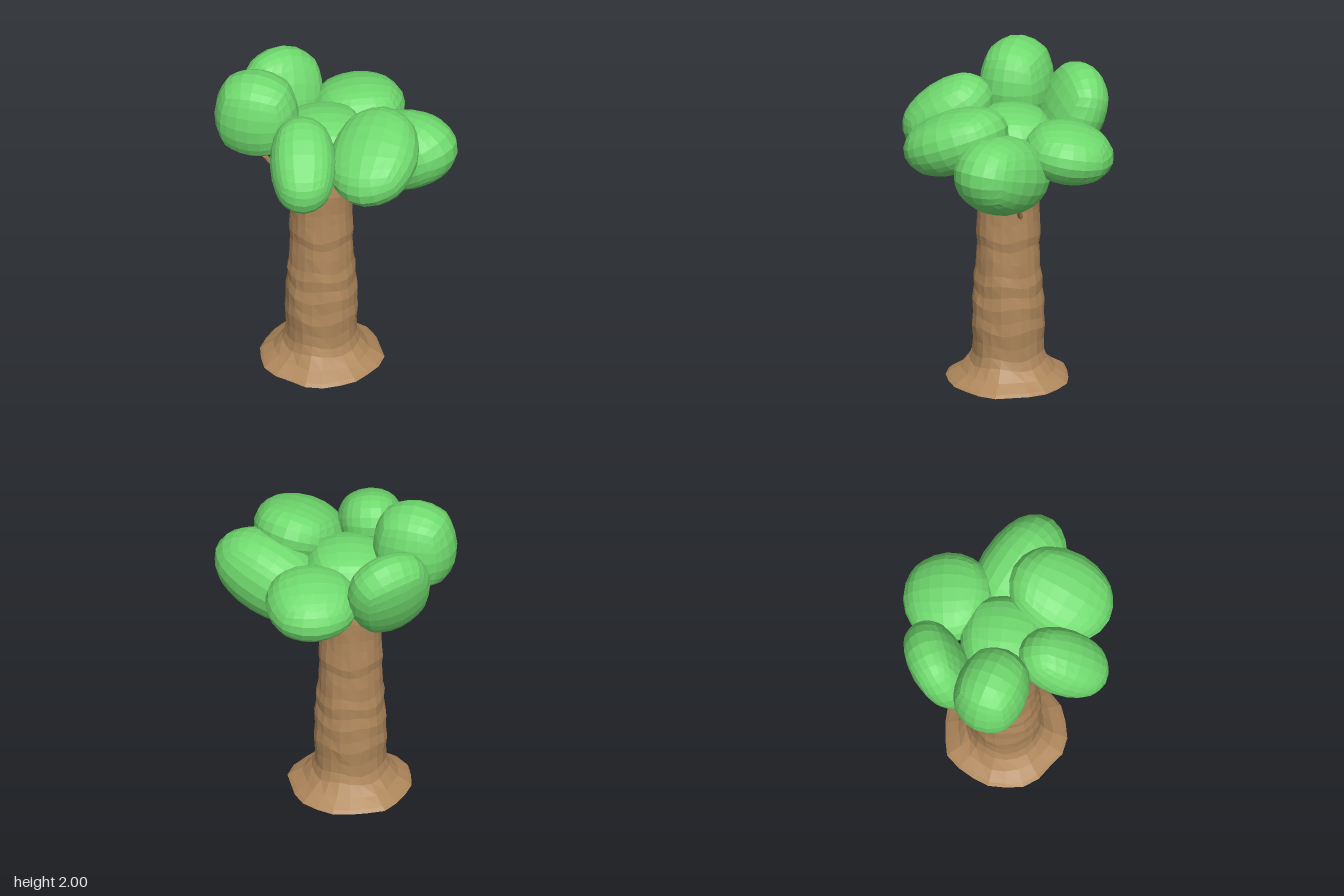
import * as THREE from 'three';

const leafGreen = new THREE.MeshStandardMaterial({ color: 0x70da6e, flatShading: true });
leafGreen.name = 'leaf green';
const barkBrown = new THREE.MeshStandardMaterial({ color: 0xb0885c, flatShading: true });
barkBrown.name = 'bark brown';

// Smooth, repeatable wobble from a position
const wobble = (x, y, z, s) =>
  (Math.sin(x * 3.1 + s) + Math.sin(y * 3.7 + s * 2.3) + Math.sin(z * 3.3 + s * 1.7)) / 3;

// Lumpy ellipsoid of leaves: a gridded cube rounded into a ball, boxy = how much cube remains
function foliage(name, centre, radii, tilt, boxy, seed) {
  const geo = new THREE.BoxGeometry(2, 2, 2, 6, 6, 6);
  const pos = geo.attributes.position;
  const v = new THREE.Vector3(), n = new THREE.Vector3();
  for (let i = 0; i < pos.count; i++) {
    v.fromBufferAttribute(pos, i);
    n.copy(v).normalize();
    v.lerp(n, 1 - boxy).multiplyScalar(1.01 + 0.04 * wobble(n.x, n.y, n.z, seed));
    pos.setXYZ(i, v.x * radii[0], v.y * radii[1], v.z * radii[2]);
  }
  geo.computeVertexNormals();
  const mesh = new THREE.Mesh(geo, leafGreen);
  mesh.name = name;
  mesh.position.set(...centre);
  mesh.rotation.set(...tilt, 'YXZ');
  return mesh;
}

// Thin straight branch between two points
function branch(name, from, to, radius = 0.016) {
  const a = new THREE.Vector3(...from), b = new THREE.Vector3(...to);
  const dir = b.clone().sub(a);
  const mesh = new THREE.Mesh(
    new THREE.CylinderGeometry(radius * 0.9, radius, dir.length(), 6), barkBrown);
  mesh.name = name;
  mesh.position.copy(a).add(b).multiplyScalar(0.5);
  mesh.quaternion.setFromUnitVectors(new THREE.Vector3(0, 1, 0), dir.normalize());
  return mesh;
}

// Trunk with flared, ragged foot and uneven bark rings
function trunk() {
  const profile = [
    [0, 0.005], [0.364, 0.005], [0.345, 0.022], [0.28, 0.065], [0.23, 0.125], [0.212, 0.18],
    [0.21, 0.26], [0.218, 0.35], [0.211, 0.42], [0.213, 0.5], [0.2, 0.57], [0.203, 0.64],
    [0.192, 0.7], [0.19, 0.79], [0.184, 0.87], [0.191, 0.93], [0.184, 1.03], [0.182, 1.11],
    [0.186, 1.2], [0.188, 1.25], [0.178, 1.34], [0.17, 1.44], [0.14, 1.5], [0, 1.5],
  ].map(([r, y]) => new THREE.Vector2(r, y));
  const geo = new THREE.LatheGeometry(profile, 22);
  const pos = geo.attributes.position;
  for (let i = 0; i < pos.count; i++) {
    const x = pos.getX(i), y = pos.getY(i), z = pos.getZ(i);
    const a = Math.atan2(x, z);
    const ragged = y < 0.07 ? 0.02 : 0.01;
    const k = 1 + ragged * (Math.sin(a * 5 + y * 9) + Math.sin(a * 8 + 1 - y * 14));
    const lift = y > 0.1 && y < 1.4 ? 0.012 * Math.sin(a * 4 + y * 11) : 0;
    pos.setXYZ(i, x * k, y + lift, z * k);
  }
  geo.computeVertexNormals();
  const mesh = new THREE.Mesh(geo, barkBrown);
  mesh.name = 'trunk';
  mesh.position.set(-0.092, 0, 0.02);
  return mesh;
}

export function createModel() {
  const tree = new THREE.Group();
  tree.name = 'tree';
  tree.add(trunk());

  // Branches reaching up into the leaves
  tree.add(
    branch('frontBranch', [-0.08, 1.22, 0.19], [-0.08, 1.48, 0.41], 0.02),
    branch('frontLeftBranch', [-0.255, 1.22, 0.08], [-0.39, 1.5, 0.2]),
    branch('frontRightBranch', [0.06, 1.26, 0.05], [0.22, 1.48, 0.12]),
    branch('sideBranch', [0.03, 1.08, -0.1], [0.18, 1.29, -0.12], 0.018),
    branch('backLeftBranch', [-0.22, 1.24, -0.1], [-0.36, 1.46, -0.23]),
    branch('backBranch', [-0.08, 1.3, -0.13], [-0.04, 1.48, -0.26]),
  );

  // Leaf clumps: centre, radii, tilt, boxiness
  [
    ['backFoliage', [0.02, 1.535, -0.4], [0.27, 0.175, 0.265], [-0.18, 0.4, 0], 0.05],
    ['backLeftFoliage', [-0.415, 1.61, -0.26], [0.265, 0.3, 0.16], [0.35, -2.36, 0.25], 0.08],
    ['highLeftFoliage', [-0.465, 1.73, 0.1], [0.245, 0.268, 0.22], [0, 0, 0], 0.09],
    ['sideFoliage', [0.345, 1.47, -0.1], [0.38, 0.243, 0.23], [0, -0.2, 0.35], 0.03],
    ['frontRightFoliage', [0.285, 1.62, 0.21], [0.265, 0.185, 0.33], [0.4, 0, 0.15], 0.05],
    ['frontFoliage', [-0.1, 1.63, 0.405], [0.198, 0.185, 0.297], [0.63, 0.3, 0], 0.04],
    ['middleFoliage', [-0.09, 1.57, 0.0], [0.25, 0.155, 0.25], [0, 0.3, 0], 0.1],
  ].forEach(([name, centre, radii, tilt, boxy], i) =>
    tree.add(foliage(name, centre, radii, tilt, boxy, i * 1.9 + 0.5)));

  return tree;
}
